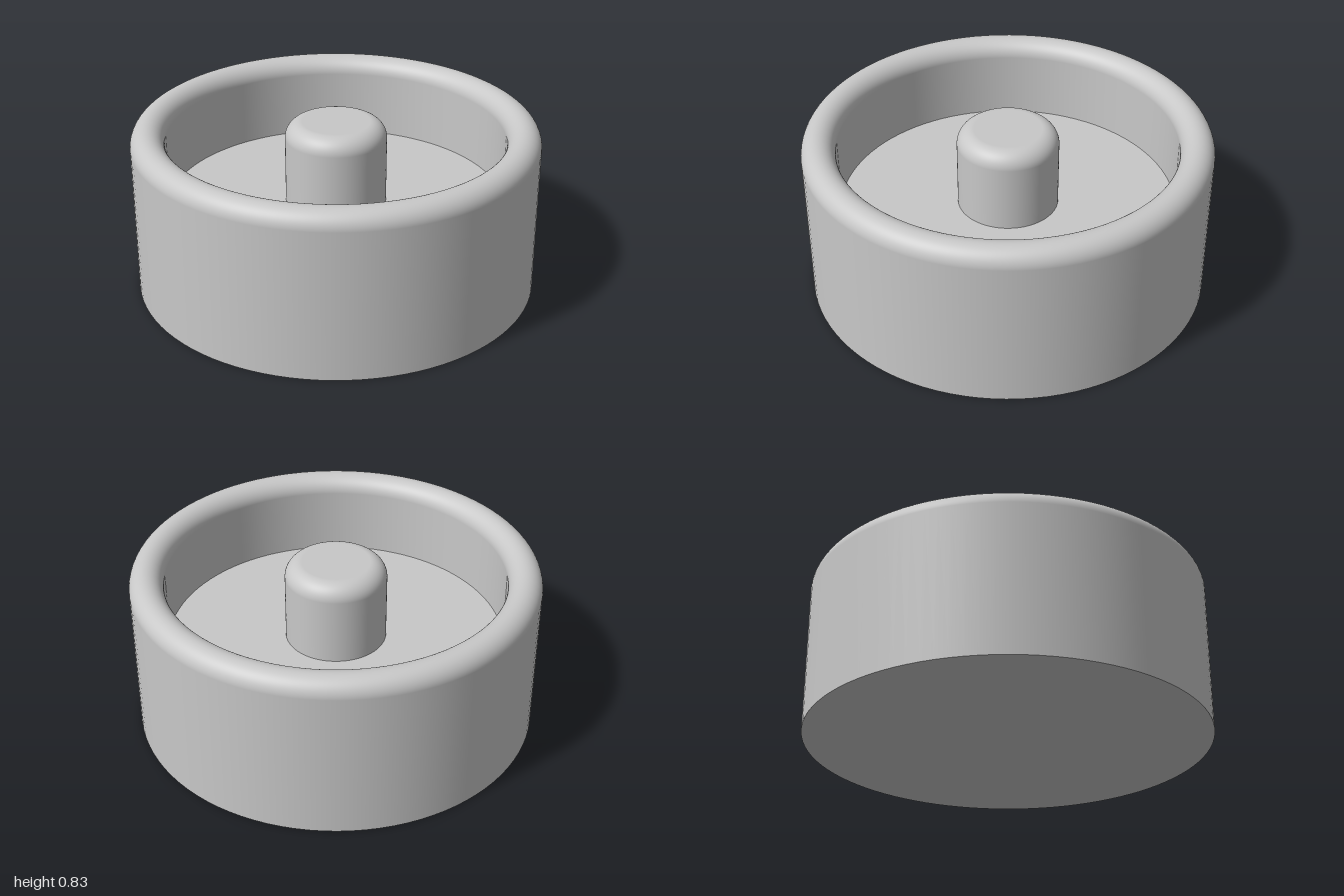
import * as THREE from 'three';

const SEGMENTS = 96;
const UNIT = 1 / 12;
const FLOOR = 5 * UNIT;
const TOP = 10 * UNIT;
const FILLET = UNIT;

// Points along a rounded edge centred on (cx, cy), from angle a to angle b
function arc(cx, cy, a, b, steps) {
  const points = [];
  for (let i = 0; i <= steps; i++) {
    const t = a + ((b - a) * i) / steps;
    points.push(new THREE.Vector2(cx + FILLET * Math.cos(t), cy + FILLET * Math.sin(t)));
  }
  return points;
}

export function createModel() {
  const model = new THREE.Group();
  const grey = new THREE.MeshStandardMaterial({ color: 0xc8c8c8 });
  grey.name = 'grey';

  function add(name, geometry) {
    const mesh = new THREE.Mesh(geometry, grey);
    mesh.name = name;
    model.add(mesh);
    return mesh;
  }

  // Ring wall: up the outside, over the full-round rim, down to the floor
  const wall = [
    new THREE.Vector2(1, 0),
    ...arc(11 * UNIT, TOP - FILLET, 0, Math.PI, 32),
    new THREE.Vector2(10 * UNIT, FLOOR),
  ];
  add('wall', new THREE.LatheGeometry(wall, SEGMENTS));

  // Centre post with a rounded top edge
  const post = [
    new THREE.Vector2(3 * UNIT, FLOOR),
    ...arc(2 * UNIT, TOP - FILLET, 0, Math.PI / 2, 16),
    new THREE.Vector2(0, TOP),
  ];
  add('post', new THREE.LatheGeometry(post, SEGMENTS));

  // Recessed floor between post and wall
  const floor = add('floor', new THREE.RingGeometry(3 * UNIT, 10 * UNIT, SEGMENTS));
  floor.rotation.x = -Math.PI / 2;
  floor.position.y = FLOOR;

  // Flat underside
  const underside = add('underside', new THREE.CircleGeometry(1, SEGMENTS));
  underside.rotation.x = Math.PI / 2;

  return model;
}
